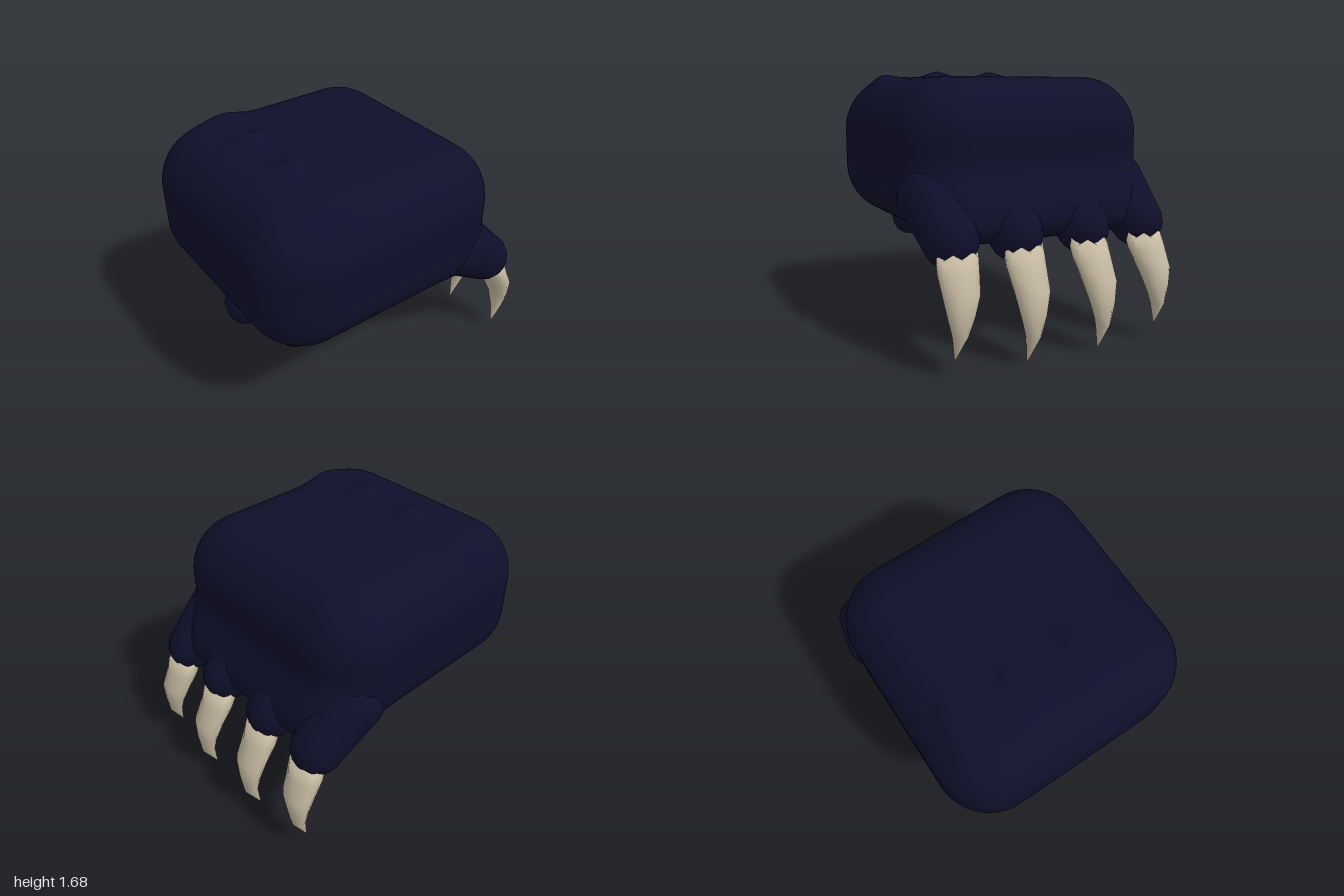
import * as THREE from 'three';
import { mergeVertices } from 'three/addons/utils/BufferGeometryUtils.js';

const clamp = THREE.MathUtils.clamp;
const smooth = THREE.MathUtils.smoothstep;

// Weld a built-in geometry after moving its vertices, for seamless smooth normals
function reshape(geo, rule) {
  geo.deleteAttribute('uv');
  geo.deleteAttribute('normal');
  const g = mergeVertices(geo, 1e-4);
  const p = g.attributes.position;
  const v = new THREE.Vector3();
  for (let i = 0; i < p.count; i++) {
    rule(v.fromBufferAttribute(p, i));
    p.setXYZ(i, v.x, v.y, v.z);
  }
  g.computeVertexNormals();
  return g;
}

// Rounded block with knuckle bumps on top and a web that flares toward the toes
function palmGeometry() {
  const size = new THREE.Vector3(1.68, 0.97, 1.66);
  const r = 0.36;
  const inner = size.clone().multiplyScalar(0.5).subScalar(r);
  const core = new THREE.Vector3();
  return reshape(new THREE.BoxGeometry(size.x, size.y, size.z, 36, 24, 40), (v) => {
    core.copy(v).clamp(inner.clone().negate(), inner);
    v.sub(core).normalize().multiplyScalar(r).add(core);
    v.add(new THREE.Vector3(-0.16, 1.155, 0));
    // knuckle bumps
    const top = smooth(v.y, 1.4, 1.6);
    for (const z of [-0.62, -0.21, 0.21, 0.62]) {
      const bump = Math.exp(-(((v.x + 0.5) / 0.14) ** 2) - ((v.z - z) / 0.08) ** 2);
      v.y += 0.045 * top * bump;
    }
    // web between the toes
    const low = 1 - smooth(v.y, 0.75, 1.15);
    const front = smooth(v.x, 0.2, 0.62);
    v.x += 0.19 * low * front;
    v.y -= 0.06 * low * front;
  });
}

// Capsule, wider at the root, pointing forward and down
function toeGeometry() {
  const g = reshape(new THREE.CapsuleGeometry(0.165, 0.35, 6, 16, 6), (v) => {
    const f = 1 + 0.26 * clamp(0.5 - v.y / 0.35, 0, 1);
    v.x *= f;
    v.z *= f;
  });
  return g.rotateZ(-2.25);
}

// Curved claw lofted through flat elliptical rings with a jagged root
const clawRings = [ // x, y, radius x, radius z
  [0.80, 0.66, 0.095, 0.125],
  [0.835, 0.56, 0.093, 0.125],
  [0.913, 0.43, 0.087, 0.11],
  [0.943, 0.30, 0.055, 0.082],
  [0.945, 0.17, 0.043, 0.045],
  [0.885, 0.0, 0.001, 0.001],
];
function clawGeometry(reach, length, lean) {
  const n = 12, pos = [], idx = [];
  clawRings.forEach(([x, y, rx, rz], j) => {
    const drop = (0.66 - y) * length;
    for (let i = 0; i < n; i++) {
      const a = (i / n) * Math.PI * 2;
      const jag = j === 0 ? (i % 2 ? 0.025 : -0.015) : 0;
      pos.push(0.80 + (x - 0.80) * reach + rx * Math.cos(a), 0.66 - drop + jag,
        lean * (drop / 0.6) + rz * Math.sin(a));
      if (j === clawRings.length - 1) continue;
      const a0 = j * n + i, a1 = j * n + (i + 1) % n;
      idx.push(a0, a1, a0 + n, a1, a1 + n, a0 + n);
    }
  });
  // root cap
  pos.push(0.80, 0.66, 0);
  const centre = pos.length / 3 - 1;
  for (let i = 0; i < n; i++) idx.push(centre, (i + 1) % n, i);
  const g = new THREE.BufferGeometry();
  g.setAttribute('position', new THREE.Float32BufferAttribute(pos, 3));
  g.setIndex(idx);
  g.computeVertexNormals();
  return g;
}

export function createModel() {
  const fur = new THREE.MeshStandardMaterial({ color: 0x0e0f2a });
  fur.name = 'darkNavyFur';
  const horn = new THREE.MeshStandardMaterial({ color: 0xc6baa2 });
  horn.name = 'boneClaw';

  const paw = new THREE.Group();
  paw.name = 'paw';
  const add = (name, geo, mat, x = 0, y = 0, z = 0) => {
    const m = new THREE.Mesh(geo, mat);
    m.name = name;
    m.position.set(x, y, z);
    paw.add(m);
    return m;
  };

  add('palm', palmGeometry(), fur);

  // Toes and claws, mirrored in pairs
  const toe = toeGeometry();
  for (const s of [-1, 1]) {
    const side = s > 0 ? 'Left' : 'Right';
    add('innerToe' + side, toe, fur, 0.585, 0.84, s * 0.235);
    add('outerToe' + side, toe, fur, 0.585, 0.84, s * 0.65);
    add('innerClaw' + side, clawGeometry(1, 1, s * 0.02), horn, 0, 0, s * 0.225);
    add('outerClaw' + side, clawGeometry(0.78, 0.875, s * 0.052), horn, 0, 0, s * 0.645);
  }

  // Heel pads
  add('heelPadMiddle', new THREE.SphereGeometry(0.145, 12, 8), fur, -0.765, 0.625, 0);
  for (const s of [-1, 1]) {
    add('heelPad' + (s > 0 ? 'Left' : 'Right'),
      new THREE.SphereGeometry(0.13, 12, 8), fur, -0.64, 0.625, s * 0.38);
  }
  return paw;
}
